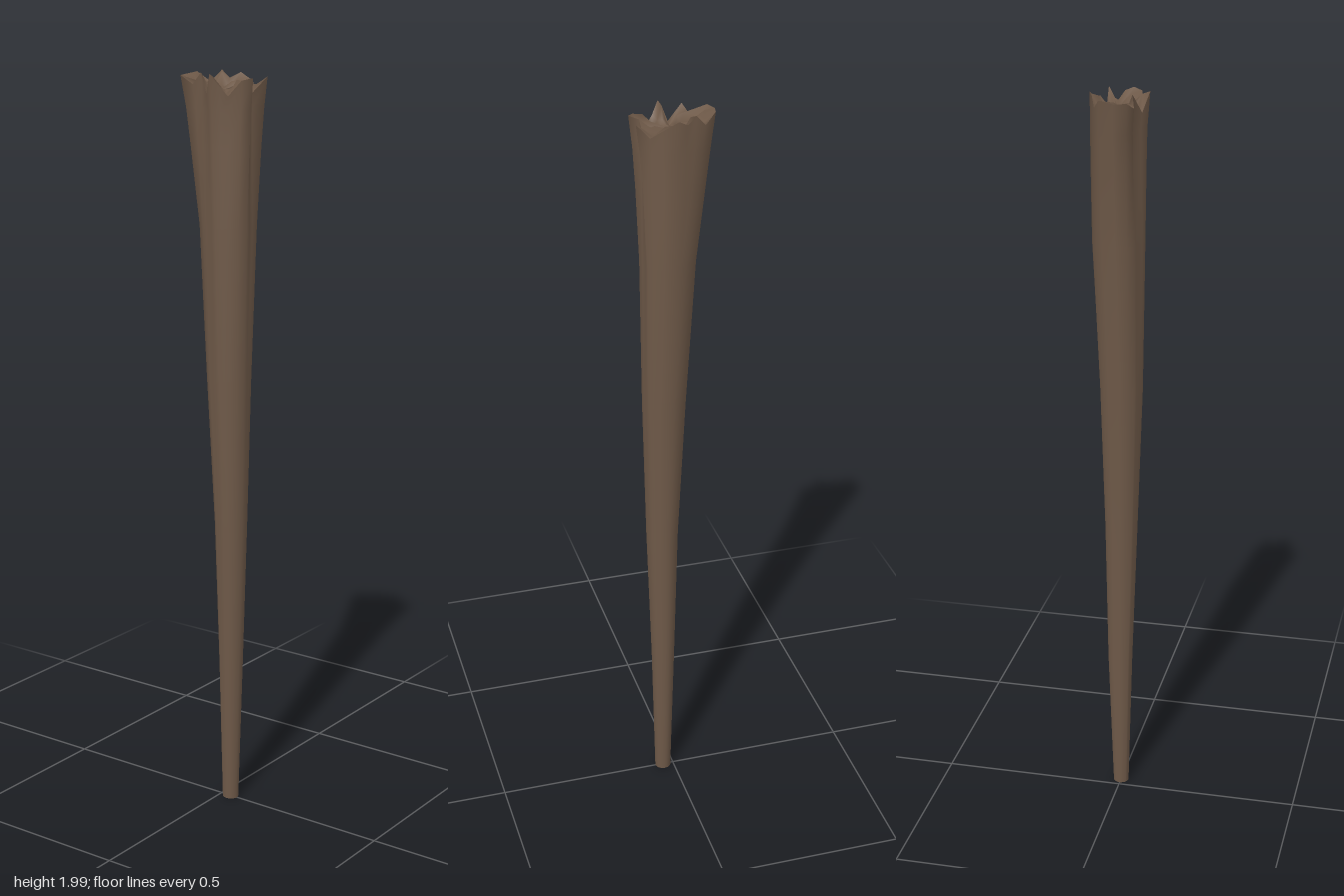
import * as THREE from 'three';

// Broken rim of the trunk: [x, y, z], running from the back round by the left side.
const RIM = [
  [-0.01, 1.98, -0.11], [0.03, 1.985, -0.1], [0.047, 1.96, -0.07], [0.06, 1.99, -0.043], [0.062, 1.97, -0.02],
  [0.076, 1.985, 0.005], [0.073, 1.965, 0.045], [0.047, 1.94, 0.07], [0.05, 1.98, 0.106], [0.02, 1.94, 0.08],
  [0.003, 1.975, 0.085], [-0.015, 1.98, 0.107], [-0.04, 1.975, 0.09], [-0.05, 1.935, 0.055], [-0.06, 1.96, 0.035],
  [-0.076, 1.99, 0.016], [-0.06, 1.94, -0.005], [-0.042, 1.99, -0.035], [-0.05, 1.96, -0.055], [-0.042, 1.98, -0.1],
];

// Trunk sections: [y, minX, maxX, minZ, maxZ, share of the rim's shape]
const SECTIONS = [
  [0, -0.021, 0.021, 0.008, 0.052, 0],
  [0.4, -0.031, 0.036, -0.002, 0.061, 0],
  [0.8, -0.044, 0.044, -0.013, 0.073, 0.05],
  [1.2, -0.058, 0.056, -0.034, 0.081, 0.15],
  [1.6, -0.064, 0.075, -0.057, 0.086, 0.35],
  [1.8, -0.067, 0.076, -0.082, 0.094, 0.7],
  [1.9, -0.069, 0.076, -0.095, 0.1, 0.85],
];

// Skin a stack of closed rings, each holding the same number of points.
function loft(rings) {
  const n = rings[0].length, index = [];
  for (let i = 0; i < rings.length - 1; i++) {
    for (let j = 0; j < n; j++) {
      const k = (j + 1) % n;
      const a = i * n + j, b = i * n + k, c = a + n, d = b + n;
      index.push(a, c, b, b, c, d);
    }
  }
  const geometry = new THREE.BufferGeometry();
  geometry.setAttribute('position', new THREE.Float32BufferAttribute(rings.flat(2), 3));
  geometry.setIndex(index);
  geometry.computeVertexNormals();
  return geometry;
}

// Oval section that gradually takes on the lobes of the rim.
function section([y, x0, x1, z0, z1, share]) {
  const cx = (x0 + x1) / 2, cz = (z0 + z1) / 2, rx = (x1 - x0) / 2, rz = (z1 - z0) / 2;
  return RIM.map(([x, , z]) => {
    const angle = Math.atan2(z / 0.108, x / 0.076);
    const ux = THREE.MathUtils.lerp(Math.cos(angle), x / 0.076, share);
    const uz = THREE.MathUtils.lerp(Math.sin(angle), z / 0.108, share);
    return [cx + rx * ux, y, cz + rz * uz];
  });
}

export function createModel() {
  const bark = new THREE.MeshStandardMaterial({ color: 0x6e5948 });
  bark.name = 'brown bark';
  const group = new THREE.Group();
  group.name = 'brokenTrunk';

  const add = (name, rings) => {
    const mesh = new THREE.Mesh(loft(rings), bark);
    mesh.name = name;
    group.add(mesh);
  };

  // Tapering trunk, leaning a little backwards
  const sections = SECTIONS.map(section);
  add('trunk', [...sections, RIM]);

  // Splintered break, with heights rippling towards the middle
  const breakRings = [1, 0.75, 0.5, 0.25, 0].map((s, i) => RIM.map(([x, y, z], j) => {
    const ripple = i === 0 ? 0 : 0.018 * s * Math.sin(j * 2.1 + i * 1.7);
    return [x * s, THREE.MathUtils.lerp(1.945, y, s * s) + ripple, z * s];
  }));
  add('splinteredTop', breakRings);

  // Flat foot
  add('foot', [RIM.map(() => [0, 0, 0.03]), sections[0]]);

  return group;
}
